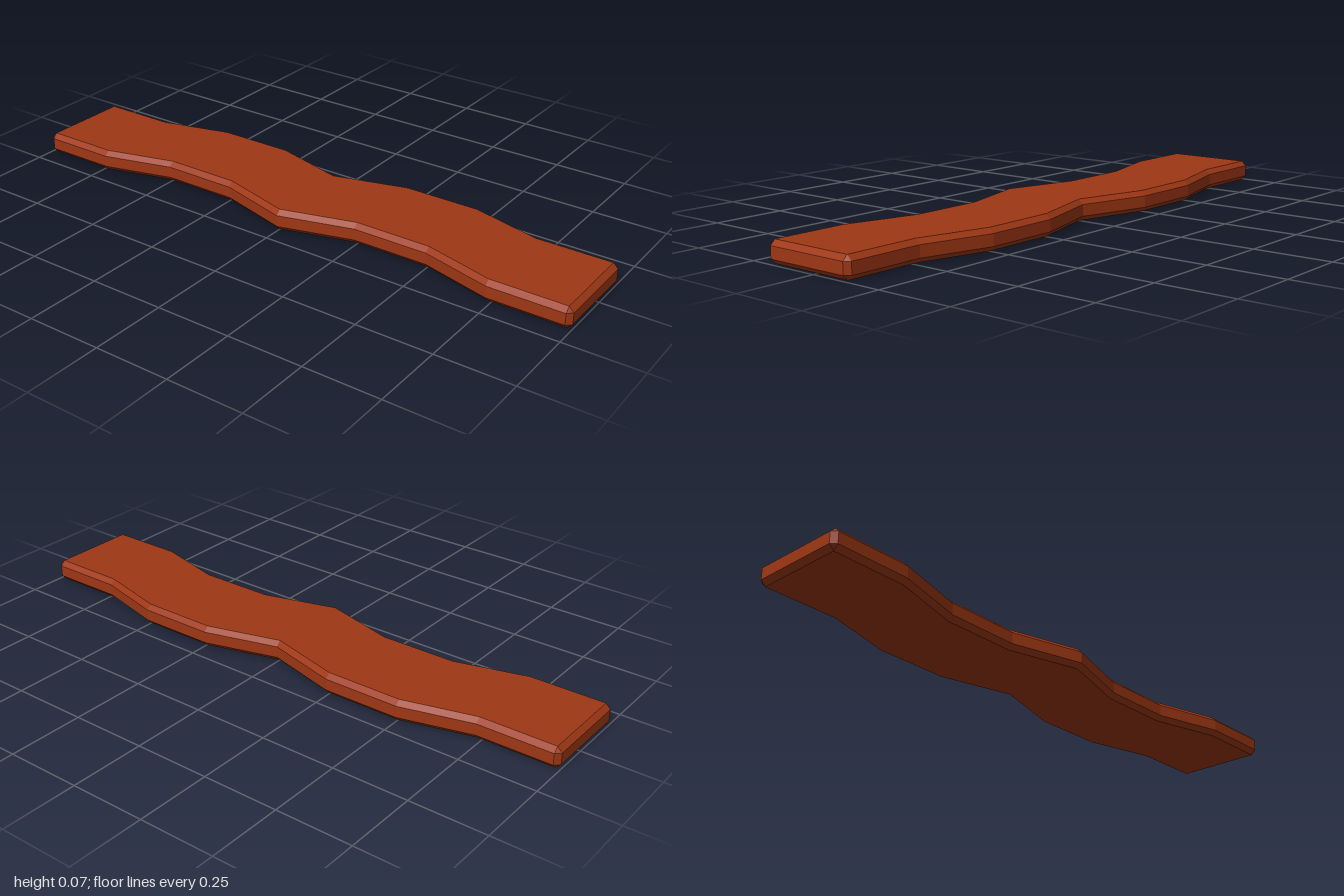
import * as THREE from 'three';

const HEIGHT = 0.07;
const BEVEL = 0.016;

// Half of the wavy outline, centre to end: [x, back z, front z]
const HALF = [
  [0, -0.128, 0.195],
  [0.245, -0.195, 0.127],
  [0.5, -0.195, 0.127],
  [0.735, -0.134, 0.19],
  [1 - BEVEL, -0.134, 0.19],
];

// Eight-sided section with chamfered edges
function section([x, back, front]) {
  const b = BEVEL, h = HEIGHT;
  return [
    [h, back + b], [h, front - b], [h - b, front], [b, front],
    [0, front - b], [0, back + b], [b, back], [h - b, back],
  ].map(([y, z]) => new THREE.Vector3(x, y, z));
}

// End section: the chamfers close to a plain rectangle
function endSection(x, [, back, front]) {
  const b = BEVEL, h = HEIGHT;
  const corners = [[h - b, back + b], [h - b, front - b], [b, front - b], [b, back + b]];
  return [0, 1, 1, 2, 2, 3, 3, 0].map((i) => new THREE.Vector3(x, ...corners[i]));
}

function plankGeometry() {
  const mirrored = HALF.slice(1).reverse().map(([x, b, f]) => [-x, b, f]);
  const end = HALF[HALF.length - 1];
  const rings = [endSection(-1, end), ...[...mirrored, ...HALF].map(section), endSection(1, end)];

  const positions = [];
  const triangle = (a, b, c) => {
    if (a.equals(b) || b.equals(c) || c.equals(a)) return;
    for (const p of [a, b, c]) positions.push(p.x, p.y, p.z);
  };

  // Skin between neighbouring sections
  for (let i = 0; i < rings.length - 1; i++) {
    for (let j = 0; j < 8; j++) {
      const k = (j + 1) % 8;
      triangle(rings[i][j], rings[i][k], rings[i + 1][k]);
      triangle(rings[i][j], rings[i + 1][k], rings[i + 1][j]);
    }
  }

  // End faces
  const first = rings[0], last = rings[rings.length - 1];
  for (let j = 1; j < 7; j++) {
    triangle(first[0], first[j + 1], first[j]);
    triangle(last[0], last[j], last[j + 1]);
  }

  const geometry = new THREE.BufferGeometry();
  geometry.setAttribute('position', new THREE.Float32BufferAttribute(positions, 3));
  geometry.computeVertexNormals();
  return geometry;
}

export function createModel() {
  const group = new THREE.Group();
  group.name = 'wavyPlank';
  const material = new THREE.MeshStandardMaterial({ color: 0x9e3714, flatShading: true });
  const plank = new THREE.Mesh(plankGeometry(), material);
  plank.name = 'plank';
  group.add(plank);
  return group;
}
